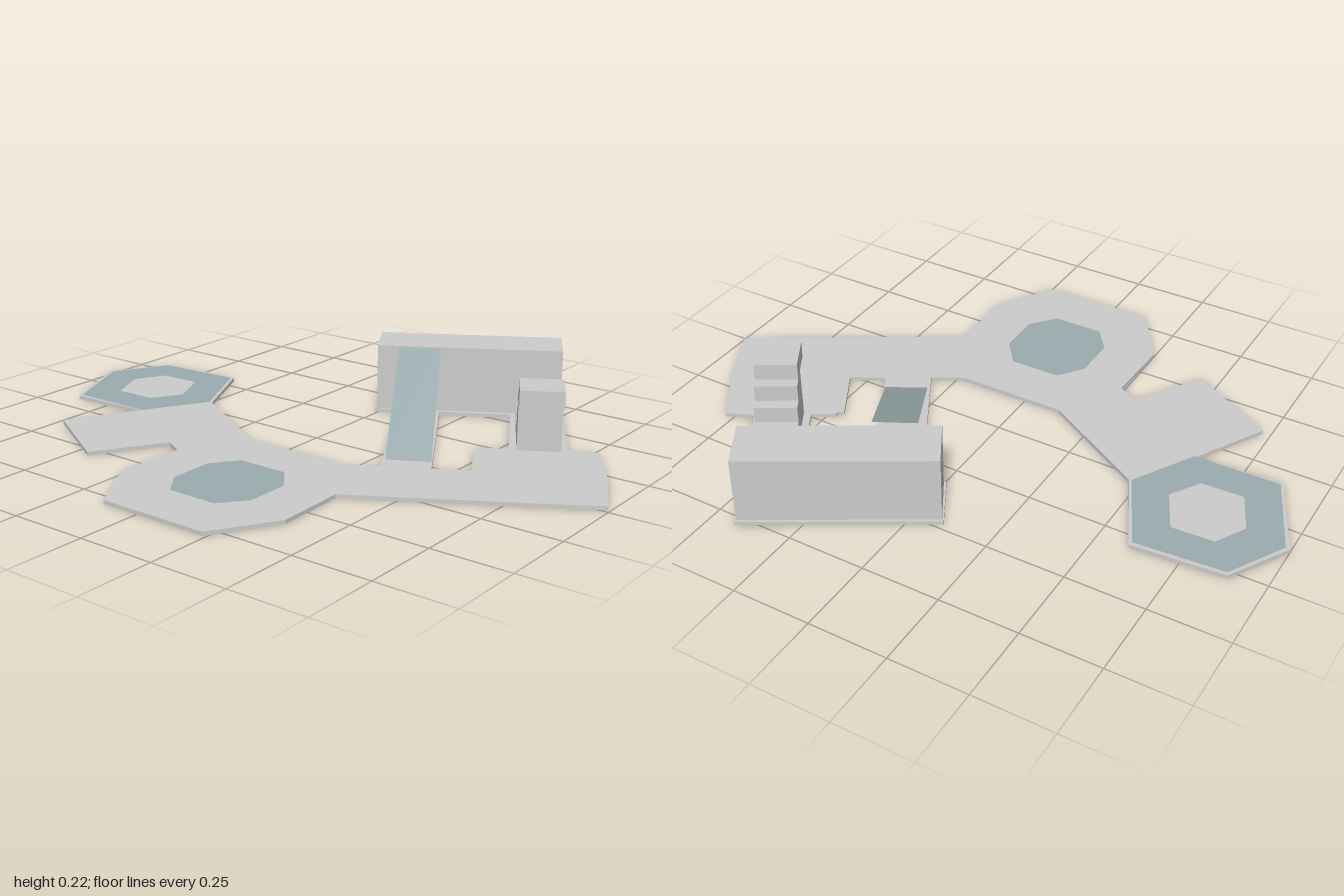
import * as THREE from 'three';

const T = 0.012;    // floor slab thickness
const TOP = 0.225;  // height of block, ramp and stair landing

// Plan outlines are [x, z] pairs
const planShape = (pts, hole) => {
  const toV = ([x, z]) => new THREE.Vector2(x, -z);
  const shape = new THREE.Shape(pts.map(toV));
  if (hole) shape.holes.push(new THREE.Path(hole.map(toV)));
  return shape;
};

export function createModel() {
  const group = new THREE.Group();
  const grey = new THREE.MeshStandardMaterial({ color: 0xcccccc, flatShading: true });
  const blue = new THREE.MeshStandardMaterial({ color: 0x9aabae, flatShading: true, side: THREE.DoubleSide });

  const add = (name, geometry, material) => {
    const mesh = new THREE.Mesh(geometry, material);
    mesh.name = name;
    group.add(mesh);
    return mesh;
  };
  // Vertical prism over a plan outline
  const prism = (name, pts, y0, y1, hole) => {
    const geo = new THREE.ExtrudeGeometry(planShape(pts, hole), { depth: y1 - y0, bevelEnabled: false });
    geo.rotateX(-Math.PI / 2).translate(0, y0, 0);
    return add(name, geo, grey);
  };
  // Flat coloured area lying on the floor
  const patch = (name, pts, hole) => {
    const geo = new THREE.ShapeGeometry(planShape(pts, hole));
    geo.rotateX(-Math.PI / 2).translate(0, T + 0.0015, 0);
    return add(name, geo, blue);
  };

  // Floor slab with the courtyard opening
  prism('floorSlab', [
    [-0.795, -0.125], [-0.6, -0.25], [-0.37, -0.243], [-0.335, -0.31], [-0.55, -0.445],
    [-0.387, -0.725], [-0.16, -0.6], [-0.176, -0.875], [0.093, -1], [0.28, -0.89],
    [0.302, -0.6], [0.04, -0.47], [-0.163, -0.125], [-0.163, 0.23], [-0.11, 0.32],
    [0.36, 0.055], [0.325, -0.01], [0.48, -0.098], [0.785, 0.42], [0.345, 0.69],
    [0.383, 0.775], [0.21, 0.89], [0.014, 0.993], [-0.04, 0.91], [-0.37, 0.353],
    [-0.6, 0.36], [-0.795, 0.24],
  ], 0, T, [
    [-0.035, 0.45], [0.022, 0.55], [0.19, 0.455], [0.2, 0.475], [0.21, 0.47],
    [0.25, 0.54], [0.537, 0.375], [0.424, 0.177],
  ]);

  // Tall block
  prism('block', [[0.332, -0.006], [0.475, -0.09], [0.775, 0.42], [0.632, 0.505]], T, TOP);

  // Stairs: side profile extruded across the width, with overhanging landing
  const steps = [0.129, 0.167, 0.205, 0.243];
  const rise = (TOP - T) / steps.length;
  const profile = [[0.08, T], [0.08, 0.172], [0, 0.172], [0, TOP]];
  steps.forEach((s, i) => profile.push([s, TOP - i * rise], [s, TOP - (i + 1) * rise]));
  const stairs = add('stairs', new THREE.ExtrudeGeometry(
    new THREE.Shape(profile.map(([x, y]) => new THREE.Vector2(x, y))),
    { depth: 0.133, bevelEnabled: false }), grey);
  stairs.position.set(0.184, 0, 0.607);
  stairs.rotation.y = 0.54;

  // Sloping ramp sheet rising to the block
  const ramp = new THREE.BufferGeometry();
  ramp.setAttribute('position', new THREE.Float32BufferAttribute([
    -0.055, T, 0.3, 0.01, T, 0.42, 0.42, TOP, 0.18, 0.358, TOP, 0.06,
  ], 3));
  ramp.setIndex([0, 1, 2, 0, 2, 3]);
  ramp.computeVertexNormals();
  add('ramp', ramp, blue);

  // Coloured floor areas
  patch('octagonPatch', [
    [-0.55, -0.09], [-0.405, -0.09], [-0.325, -0.03], [-0.325, 0.135],
    [-0.41, 0.2], [-0.55, 0.2], [-0.63, 0.135], [-0.63, -0.03],
  ]);
  patch('hexagonRing', [
    [-0.165, -0.87], [0.093, -0.987], [0.27, -0.885], [0.29, -0.605], [0.04, -0.48], [-0.16, -0.595],
  ], [
    [-0.055, -0.8], [0.073, -0.86], [0.17, -0.805], [0.176, -0.67], [0.045, -0.605], [-0.05, -0.665],
  ]);
  patch('stairFootPatch', [[0.39, 0.48], [0.565, 0.38], [0.632, 0.503], [0.463, 0.6]]);

  return group;
}
